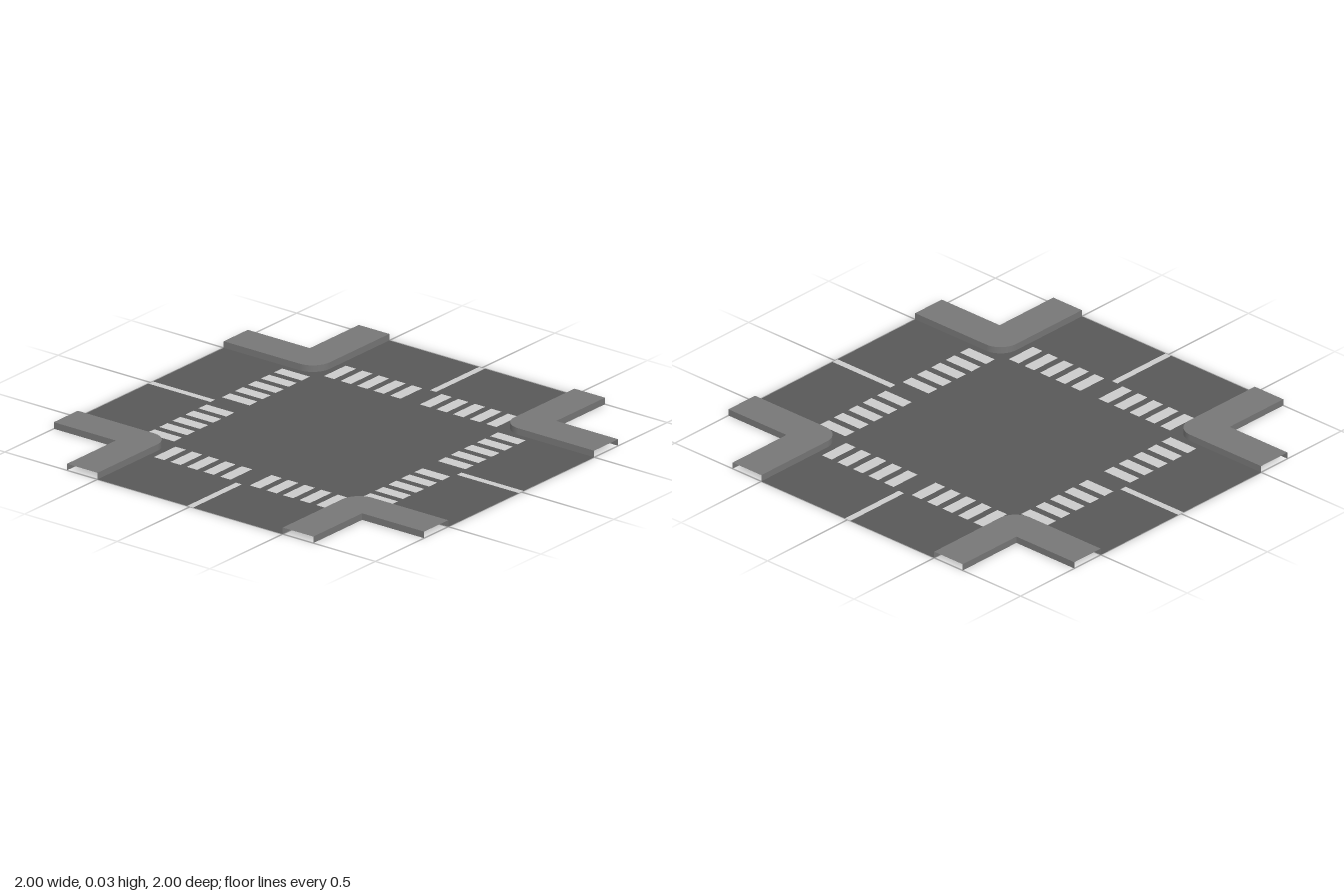
import * as THREE from 'three';

const HALF_ROAD = 0.5, WALK_EDGE = 0.665, CURB_H = 0.03, CORNER_R = 0.09, LINE_HALF = 0.016;

const paint = (color) => new THREE.MeshStandardMaterial({ color, side: THREE.DoubleSide });

// Flat sheet lying in the ground plane (plan y becomes -z)
function sheet(name, points, y, material) {
  const geo = new THREE.ShapeGeometry(new THREE.Shape(points)).rotateX(-Math.PI / 2).translate(0, y, 0);
  const mesh = new THREE.Mesh(geo, material);
  mesh.name = name;
  return mesh;
}

// Upright strip that follows a plan path from the ground to the curb height
function wall(name, points, material, sharp) {
  const pos = [], index = [];
  points.forEach((p, i) => {
    pos.push(p.x, 0, -p.y, p.x, CURB_H, -p.y);
    const a = 2 * i;
    if (i < points.length - 1) index.push(a, a + 1, a + 2, a + 1, a + 3, a + 2);
  });
  let geo = new THREE.BufferGeometry();
  geo.setAttribute('position', new THREE.Float32BufferAttribute(pos, 3));
  geo.setIndex(index);
  if (sharp) geo = geo.toNonIndexed();
  geo.computeVertexNormals();
  const mesh = new THREE.Mesh(geo, material);
  mesh.name = name;
  return mesh;
}

function rect(name, x0, x1, z0, z1, y, material) {
  const geo = new THREE.PlaneGeometry(x1 - x0, z1 - z0).rotateX(-Math.PI / 2);
  const mesh = new THREE.Mesh(geo, material);
  mesh.position.set((x0 + x1) / 2, y, (z0 + z1) / 2);
  mesh.name = name;
  return mesh;
}

// Rounded curb line of one corner, from the side arm to the end arm
function curbPath() {
  const pts = [new THREE.Vector2(1, HALF_ROAD)];
  const c = HALF_ROAD + CORNER_R;
  for (let i = 0; i <= 10; i++) {
    const a = -Math.PI / 2 - (i / 10) * Math.PI / 2;
    pts.push(new THREE.Vector2(c + CORNER_R * Math.cos(a), c + CORNER_R * Math.sin(a)));
  }
  pts.push(new THREE.Vector2(HALF_ROAD, 1));
  return pts;
}

export function createModel() {
  const model = new THREE.Group();
  model.name = 'crossroads';
  const asphalt = paint(0x585858), concrete = paint(0x777777), white = paint(0xcccccc);
  const V = (x, y) => new THREE.Vector2(x, y);
  const curb = curbPath();

  // Road surface: one quarter outline repeated, with slots for the centre lines
  const quarter = [V(WALK_EDGE, LINE_HALF), V(1, LINE_HALF), ...curb, V(LINE_HALF, 1), V(LINE_HALF, WALK_EDGE)];
  const outline = [];
  for (let q = 0; q < 4; q++) {
    for (const p of quarter) outline.push(p.clone().rotateAround(V(0, 0), q * Math.PI / 2));
  }
  model.add(sheet('road', outline, 0, asphalt));

  const outer = [V(WALK_EDGE, 1), V(WALK_EDGE, WALK_EDGE), V(1, WALK_EDGE)];
  for (let q = 0; q < 4; q++) {
    // Corner sidewalk: hollow shell with open ends
    const sidewalk = new THREE.Group();
    sidewalk.name = 'sidewalk';
    sidewalk.add(
      sheet('sidewalkTop', [...curb, ...outer], CURB_H, concrete),
      wall('curb', curb, concrete, false),
      wall('sidewalkOuterWall', outer, concrete, true)
    );

    // Markings of one arm: centre line and two sets of crossing stripes
    const markings = new THREE.Group();
    markings.name = 'armMarkings';
    markings.add(rect('centreLine', WALK_EDGE, 1, -LINE_HALF, LINE_HALF, 0, white));
    for (const side of [-1, 1]) {
      for (let i = 0; i < 5; i++) {
        const z = side * (0.08 + 0.0895 * i);
        markings.add(rect('crossingStripe', 0.508, 0.658, z - 0.028, z + 0.028, 0.002, white));
      }
    }
    sidewalk.rotation.y = markings.rotation.y = q * Math.PI / 2;
    model.add(sidewalk, markings);
  }
  return model;
}
